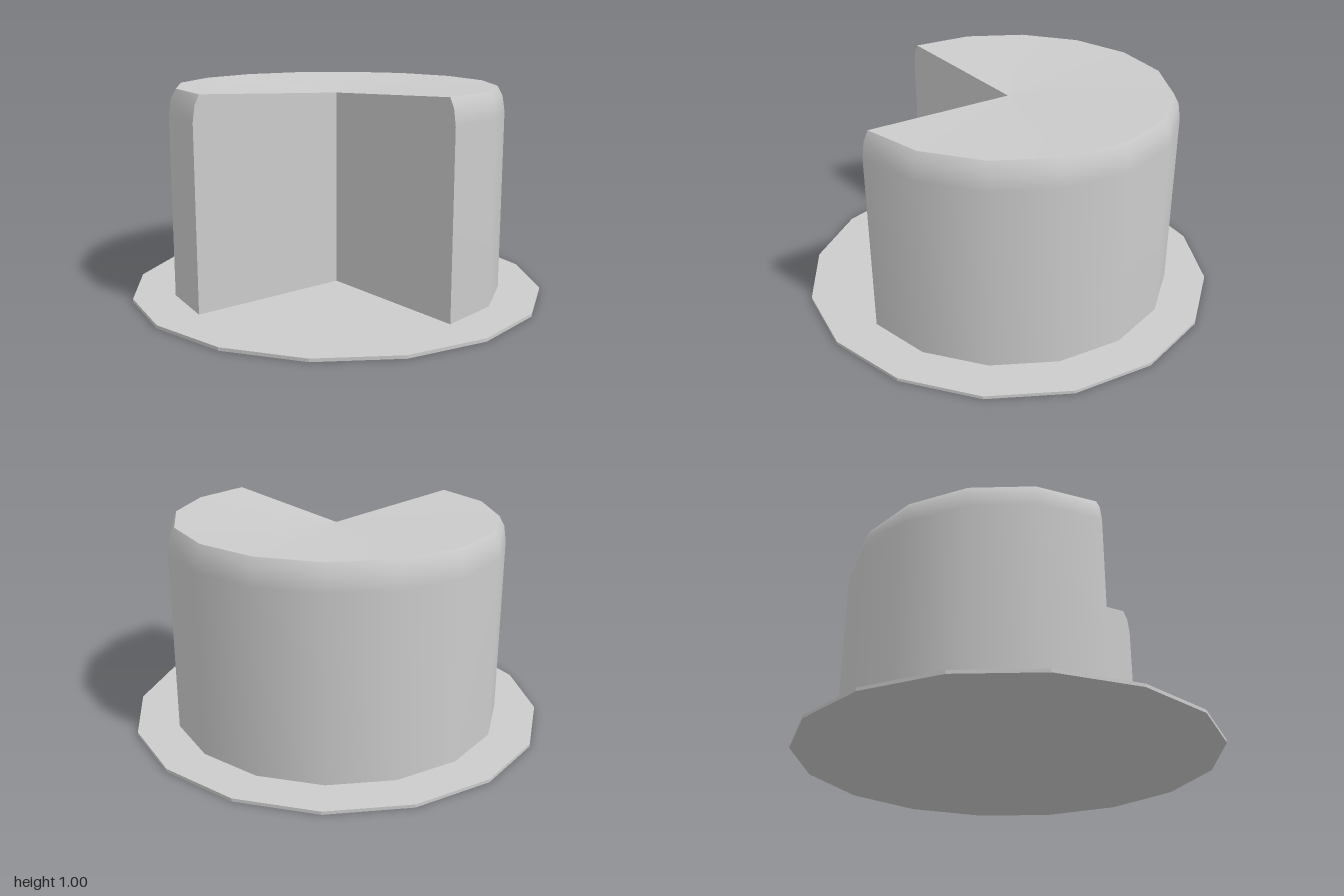
import * as THREE from 'three';

const MATERIAL = new THREE.MeshStandardMaterial({ color: 0xcccccc });
const PLATE_TOP = 0.015;
const CUT_SCALE = 0.9875; // the cut ends sit slightly inside the full radius

// Outline of the cake from the base, up the wall and over the rounded rim
const WALL = [[0.8, 0], [0.8, 0.88], [0.788, 0.955], [0.764, 1]];
const CENTRE = [0, 0.96];

const vectors = (points) => points.map(([x, y]) => new THREE.Vector2(x, y));

function addMesh(group, name, geometry, material = MATERIAL) {
  const mesh = new THREE.Mesh(geometry, material);
  mesh.name = name;
  group.add(mesh);
  return mesh;
}

// Three quarters of a turn, leaving the +x +z quarter open
function threeQuarterLathe(points) {
  const geometry = new THREE.LatheGeometry(vectors(points), 12, Math.PI / 2, Math.PI * 1.5);
  const p = geometry.attributes.position;
  for (let i = 0; i < p.count; i++) {
    const x = p.getX(i), z = p.getZ(i);
    const onCut = (Math.abs(z) < 1e-4 && x > 0) || (Math.abs(x) < 1e-4 && z > 0);
    if (onCut) p.setXYZ(i, x * CUT_SCALE, p.getY(i), z * CUT_SCALE);
  }
  return geometry;
}

// Flat cross-section of the cake, on one side of its axis
function cutFace(side) {
  const points = [[0, 0], ...WALL, CENTRE].map(([x, y]) => [x * side * CUT_SCALE, y]);
  return new THREE.ShapeGeometry(new THREE.Shape(vectors(points)));
}

export function createModel() {
  const model = new THREE.Group();
  model.name = 'cutCake';

  // Thin sixteen-sided plate
  const flat = MATERIAL.clone();
  flat.flatShading = true;
  addMesh(model, 'plate', new THREE.CylinderGeometry(1, 1, PLATE_TOP, 16), flat)
    .position.y = PLATE_TOP / 2;

  // Cake with smooth wall and rim, and a slightly dished top
  const cake = new THREE.Group();
  cake.name = 'cake';
  model.add(cake);
  addMesh(cake, 'cakeWall', threeQuarterLathe(WALL));
  addMesh(cake, 'cakeTop', threeQuarterLathe([WALL[WALL.length - 1], CENTRE]));

  // The two faces left by the missing slice
  addMesh(cake, 'frontCutFace', cutFace(1));
  addMesh(cake, 'sideCutFace', cutFace(-1).rotateY(Math.PI / 2));

  return model;
}
